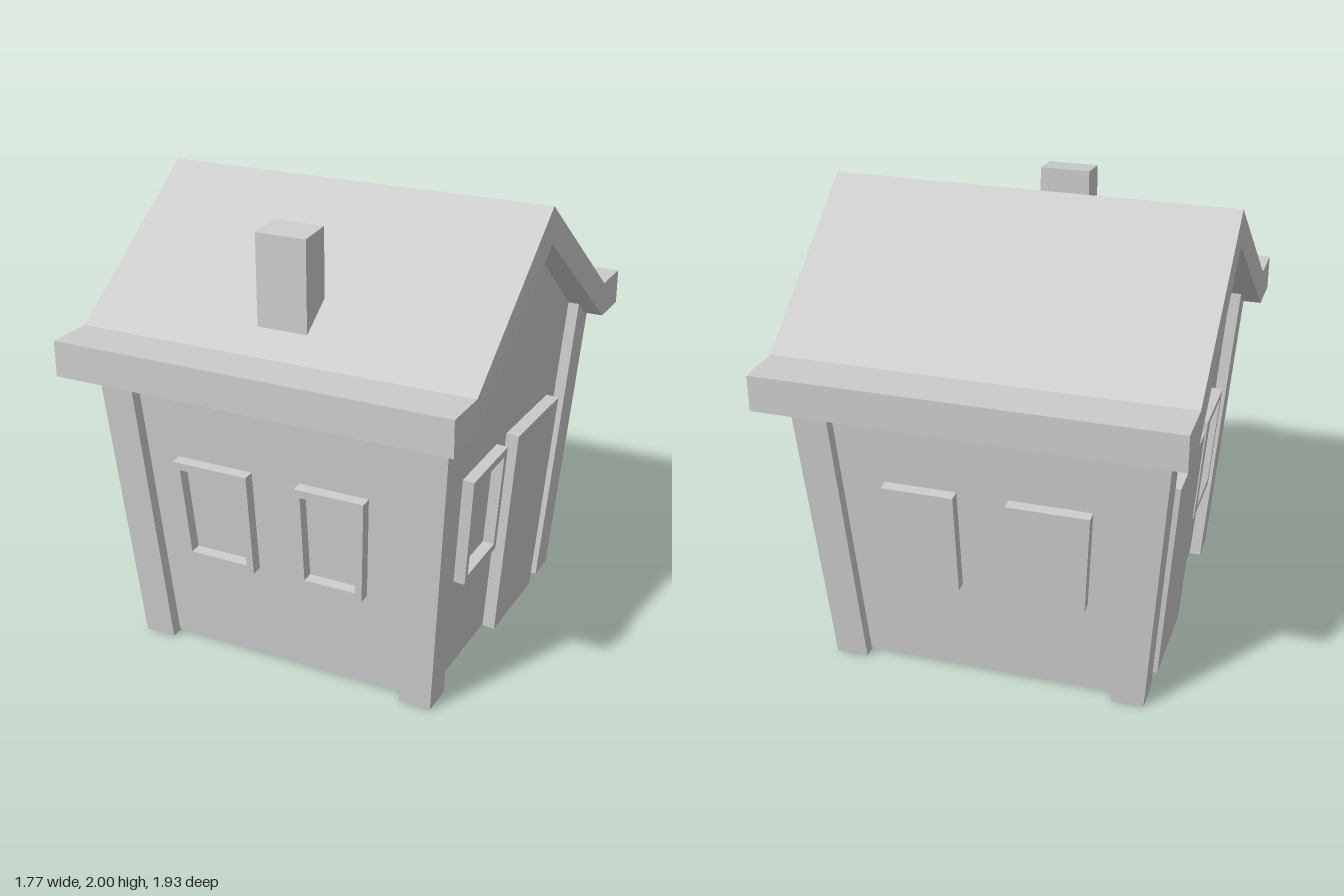
import * as THREE from 'three';

const LEAN = 0.077;          // walls lean outwards this much per unit of height
const BASE = 0.65;           // half-width of the walls at the ground
const material = new THREE.MeshStandardMaterial({ color: 0xcccccc, flatShading: true });

function add(parent, name, geometry) {
  const mesh = new THREE.Mesh(geometry, material);
  mesh.name = name;
  parent.add(mesh);
  return mesh;
}

// Move every vertex of a geometry by a rule
function reshape(geometry, rule) {
  const p = geometry.attributes.position;
  const v = new THREE.Vector3();
  for (let i = 0; i < p.count; i++) {
    rule(v.fromBufferAttribute(p, i));
    p.setXYZ(i, v.x, v.y, v.z);
  }
  geometry.computeVertexNormals();
  return geometry;
}

const toPoints = (list, side = 1) => list.map(([u, v]) => new THREE.Vector2(u * side, v));

// Flat plate with an optional opening, laid on a leaning wall
function plate(outline, opening, side, depth) {
  const shape = new THREE.Shape(toPoints(outline, side));
  if (opening) shape.holes.push(new THREE.Path(toPoints(opening, side)));
  const geometry = new THREE.ExtrudeGeometry(shape, { depth: depth + 0.02, bevelEnabled: false });
  return geometry.translate(0, 0, -0.02).rotateX(Math.atan(LEAN)).translate(0, 0, BASE);
}

// Profile in (z, y), extruded along x and centred
function prism(profile, width) {
  const shape = new THREE.Shape(toPoints(profile, -1));
  return new THREE.ExtrudeGeometry(shape, { depth: width, bevelEnabled: false })
    .translate(0, 0, -width / 2).rotateY(Math.PI / 2);
}

export function createModel() {
  const house = new THREE.Group();
  house.name = 'house';

  // Walls with gables, leaning outwards on all sides
  const eave = BASE + LEAN * 1.32;
  const walls = prism([[-BASE, 0.01], [BASE, 0.01], [eave, 1.32], [0, 1.865], [-eave, 1.32]], 1);
  add(house, 'walls', reshape(walls, (v) => {
    v.x = Math.sign(v.x) * (BASE + LEAN * v.y);
  }));

  // Gable roof with flat eaves
  add(house, 'roof', prism([
    [-0.965, 1.3], [-0.755, 1.3], [0, 1.845], [0.755, 1.3], [0.965, 1.3],
    [0.965, 1.455], [0.755, 1.455], [0, 2], [-0.755, 1.455], [-0.965, 1.455],
  ], 1.77));

  // Chimney with a slightly sloping top
  const chimney = new THREE.BoxGeometry(0.226, 1, 0.15).translate(-0.002, 0, 0.565);
  add(house, 'chimney', reshape(chimney, (v) => {
    v.y = v.y < 0 ? 1.5 : v.z > 0.565 ? 1.93 : 1.945;
  }));

  // Corner posts, widening towards the top
  for (const sx of [-1, 1]) {
    for (const sz of [-1, 1]) {
      const post = reshape(new THREE.BoxGeometry(1, 1, 1), (v) => {
        const top = v.y > 0;
        const inner = top ? 0.653 : 0.56;
        const outer = top ? 0.809 : 0.702;
        v.x = sx * (v.x * sx > 0 ? outer : inner);
        v.z = sz * (v.z * sz > 0 ? outer : inner);
        v.y = top ? 1.42 : 0;
      });
      add(house, 'cornerPost', post);
    }
  }

  // Front and back: two crooked window frames each
  const wideOuter = [[-0.445, 0.457], [-0.11, 0.457], [-0.115, 0.925], [-0.47, 0.925]];
  const wideOpening = [[-0.415, 0.492], [-0.143, 0.492], [-0.143, 0.89], [-0.437, 0.89]];
  const narrowOuter = [[0.105, 0.457], [0.4, 0.457], [0.425, 0.925], [0.11, 0.925]];
  const narrowOpening = [[0.136, 0.492], [0.37, 0.492], [0.39, 0.89], [0.136, 0.89]];
  for (const [name, side, turn] of [['frontWindows', 1, 0], ['backWindows', -1, Math.PI]]) {
    const face = new THREE.Group();
    face.name = name;
    face.rotation.y = turn;
    add(face, 'wideWindowFrame', plate(wideOuter, wideOpening, side, 0.05));
    add(face, 'narrowWindowFrame', plate(narrowOuter, narrowOpening, side, 0.05));
    house.add(face);
  }

  // Gable sides: a window frame and a door each
  const sideOuter = [[-0.45, 0.478], [-0.105, 0.483], [-0.108, 0.978], [-0.475, 0.97]];
  const sideOpening = [[-0.425, 0.512], [-0.135, 0.517], [-0.138, 0.942], [-0.44, 0.937]];
  const door = [[0, 0.005], [0.455, 0.005], [0.508, 0.972], [0, 0.984]];
  for (const [name, side] of [['leftSide', 1], ['rightSide', -1]]) {
    const face = new THREE.Group();
    face.name = name;
    face.rotation.y = side * Math.PI / 2;
    add(face, 'sideWindowFrame', plate(sideOuter, sideOpening, side, 0.05));
    add(face, 'door', plate(door, null, side, 0.057));
    house.add(face);
  }

  return house;
}
